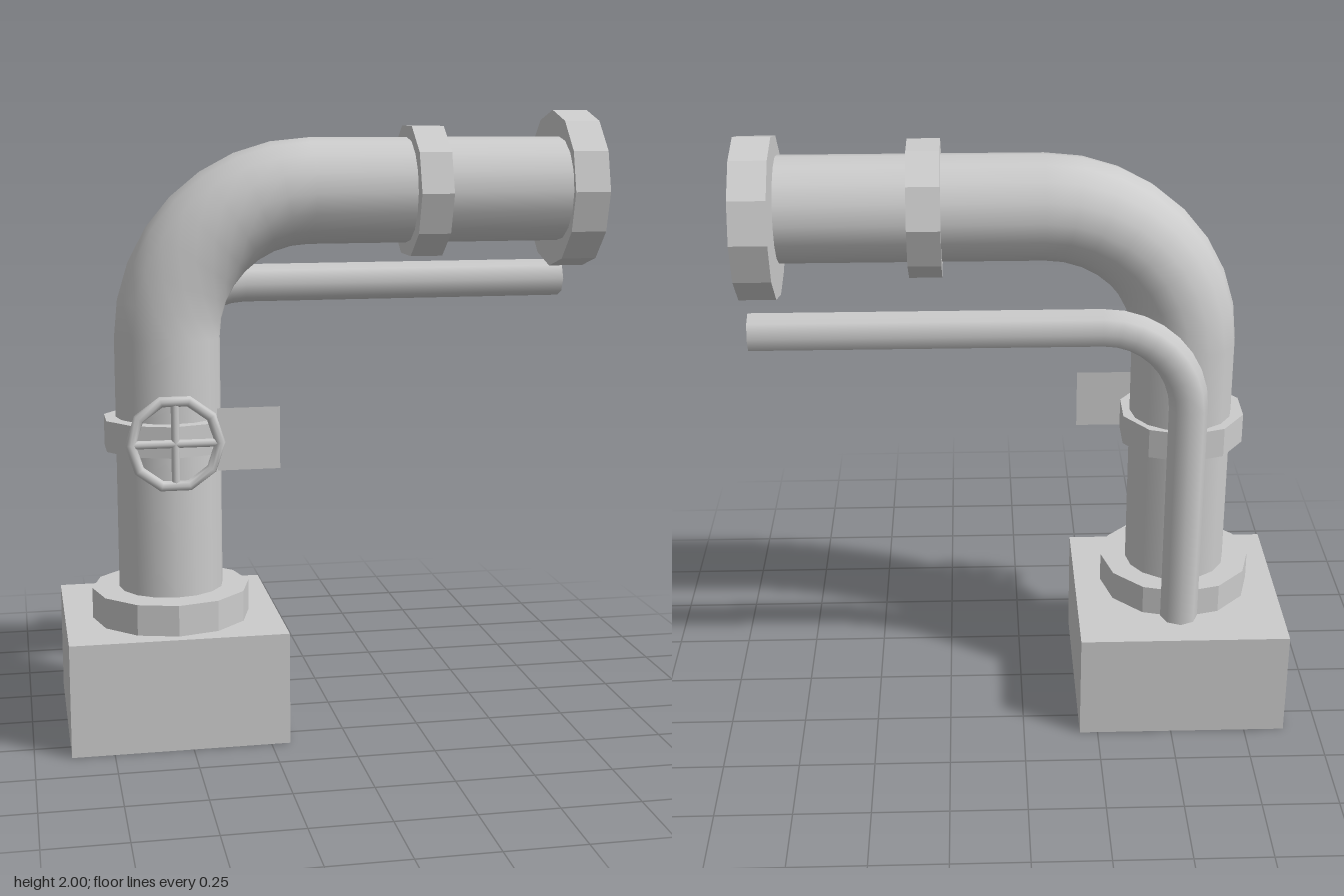
import * as THREE from 'three';

export function createModel() {
  const model = new THREE.Group();
  model.name = 'pipework';
  const grey = new THREE.MeshStandardMaterial({ color: 0xcccccc });
  grey.name = 'grey';
  const flatGrey = new THREE.MeshStandardMaterial({ color: 0xcccccc, flatShading: true });
  flatGrey.name = 'faceted grey';
  const plateGrey = new THREE.MeshStandardMaterial({ color: 0xcccccc, side: THREE.DoubleSide });
  plateGrey.name = 'plate grey';

  function add(parent, name, geometry, material, x, y, z) {
    const mesh = new THREE.Mesh(geometry, material);
    mesh.name = name;
    mesh.position.set(x, y, z);
    parent.add(mesh);
    return mesh;
  }

  // Vertical run, quarter bend and horizontal run along +x
  function bentPipe(name, { x, z, bottom, top, end, radius, bend, sides }) {
    const pipe = new THREE.Group();
    pipe.name = name;
    const rise = top - bend - bottom;
    const run = end - (x + bend);
    add(pipe, 'uprightRun', new THREE.CylinderGeometry(radius, radius, rise, sides), grey,
      x, bottom + rise / 2, z);
    add(pipe, 'elbow', new THREE.TorusGeometry(bend, radius, sides, 8, Math.PI / 2).rotateZ(Math.PI / 2), grey,
      x + bend, top - bend, z);
    add(pipe, 'levelRun', new THREE.CylinderGeometry(radius, radius, run, sides).rotateZ(-Math.PI / 2), grey,
      end - run / 2, top, z);
    model.add(pipe);
  }

  // Faceted ring around a pipe
  function collar(name, radius, width, sides, x, y, z, alongX) {
    const geometry = new THREE.CylinderGeometry(radius, radius, width, sides);
    if (alongX) geometry.rotateZ(-Math.PI / 2);
    add(model, name, geometry, flatGrey, x, y, z);
  }

  // Plinth
  add(model, 'base', new THREE.BoxGeometry(0.695, 0.365, 0.695), flatGrey, -0.537, 0.1825, -0.002);

  // Pipes
  bentPipe('mainPipe', { x: -0.535, z: 0.045, bottom: 0.36, top: 1.745, end: 0.8, radius: 0.17, bend: 0.46, sides: 16 });
  bentPipe('sidePipe', { x: -0.53, z: -0.192, bottom: 0.36, top: 1.428, end: 0.85, radius: 0.063, bend: 0.28, sides: 8 });

  // Flanges and collars
  collar('baseFlange', 0.257, 0.1, 12, -0.537, 0.415, 0.052, false);
  collar('valveCollar', 0.21, 0.1, 10, -0.54, 0.98, 0.057, false);
  collar('pipeCollar', 0.218, 0.105, 10, 0.3025, 1.743, 0.045, true);
  collar('endFlange', 0.258, 0.117, 12, 0.8215, 1.742, -0.024, true);

  // Handwheel with crossed spokes
  const wheel = new THREE.Group();
  wheel.name = 'handwheel';
  wheel.position.set(-0.537, 0.98, 0.28);
  add(wheel, 'rim', new THREE.TorusGeometry(0.14, 0.017, 8, 10), grey, 0, 0, 0);
  for (let i = 0; i < 2; i++) {
    const spoke = add(wheel, 'spoke', new THREE.CylinderGeometry(0.013, 0.013, 0.27, 8), grey, 0, 0, 0);
    spoke.rotation.z = i * Math.PI / 2;
  }
  model.add(wheel);

  // Sign plate beside the valve
  add(model, 'plate', new THREE.PlaneGeometry(0.2, 0.2), plateGrey, -0.3, 0.98, 0.235);

  return model;
}
